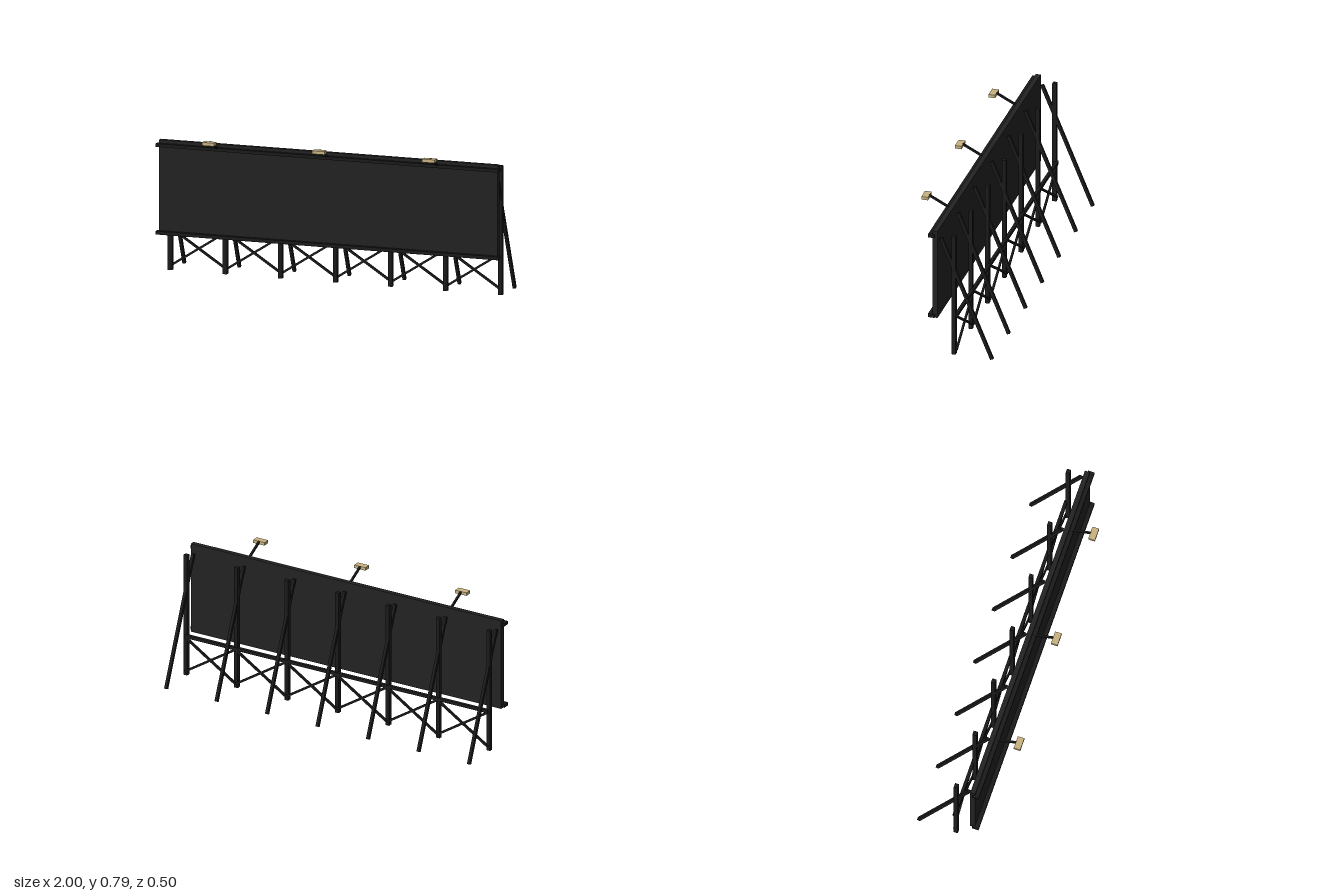
import * as THREE from 'three';

const mat = (name, color) => {
  const m = new THREE.MeshStandardMaterial({ color });
  m.name = name;
  return m;
};

export function createModel() {
  const panelDark = mat('panel charcoal', 0x222222);
  const frameDark = mat('frame black', 0x1a1a1a);
  const lampTan = mat('lamp tan', 0xc8b280);
  const model = new THREE.Group();
  model.name = 'billboard';

  // Box given by its lower and upper limits on each axis
  const box = (name, material, [x0, x1], [y0, y1], [z0, z1]) => {
    const mesh = new THREE.Mesh(new THREE.BoxGeometry(x1 - x0, y1 - y0, z1 - z0), material);
    mesh.position.set((x0 + x1) / 2, (y0 + y1) / 2, (z0 + z1) / 2);
    mesh.name = name;
    model.add(mesh);
  };

  // Square-cut bar running from a to b
  const bar = (name, width, depth, a, b) => {
    const from = new THREE.Vector3(...a), to = new THREE.Vector3(...b);
    const dir = to.clone().sub(from);
    const mesh = new THREE.Mesh(new THREE.BoxGeometry(width, dir.length(), depth), frameDark);
    mesh.position.copy(from).add(to).multiplyScalar(0.5);
    mesh.quaternion.setFromUnitVectors(new THREE.Vector3(0, 1, 0), dir.normalize());
    mesh.name = name;
    model.add(mesh);
  };

  // Display panel with top and bottom walkway rails
  box('panel', panelDark, [-0.988, 0.988], [0.223, 0.752], [0.065, 0.093]);
  box('bottomRail', frameDark, [-1, 1], [0.227, 0.246], [0.079, 0.117]);
  box('topRail', frameDark, [-1, 1], [0.716, 0.734], [0.079, 0.117]);

  // Posts with leaning back props
  const spacing = 0.3213;
  for (let i = -3; i <= 3; i++) {
    const x = i * spacing;
    box('post', frameDark, [x - 0.012, x + 0.012], [0.006, 0.727], [-0.034, -0.011]);
    bar('backProp', 0.017, 0.018, [x, 0.703, 0.05], [x, 0.004, -0.239]);
  }

  // Horizontal tie and cross braces behind the posts
  box('backTie', frameDark, [-0.964, 0.964], [0.234, 0.252], [-0.044, -0.026]);
  for (let i = -3; i < 3; i++) {
    const x0 = i * spacing, x1 = x0 + spacing;
    bar('crossBrace', 0.012, 0.011, [x0, 0.03, -0.036], [x1, 0.236, -0.036]);
    bar('crossBrace', 0.012, 0.011, [x0, 0.236, -0.036], [x1, 0.03, -0.036]);
  }

  // Lamps on sloping arms
  for (const x of [-2 * spacing, 0, 2 * spacing]) {
    bar('lampArm', 0.011, 0.011, [x, 0.722, 0.088], [x, 0.787, 0.216]);
    box('lamp', lampTan, [x - 0.036, x + 0.036], [0.772, 0.79], [0.212, 0.25]);
  }
  return model;
}
